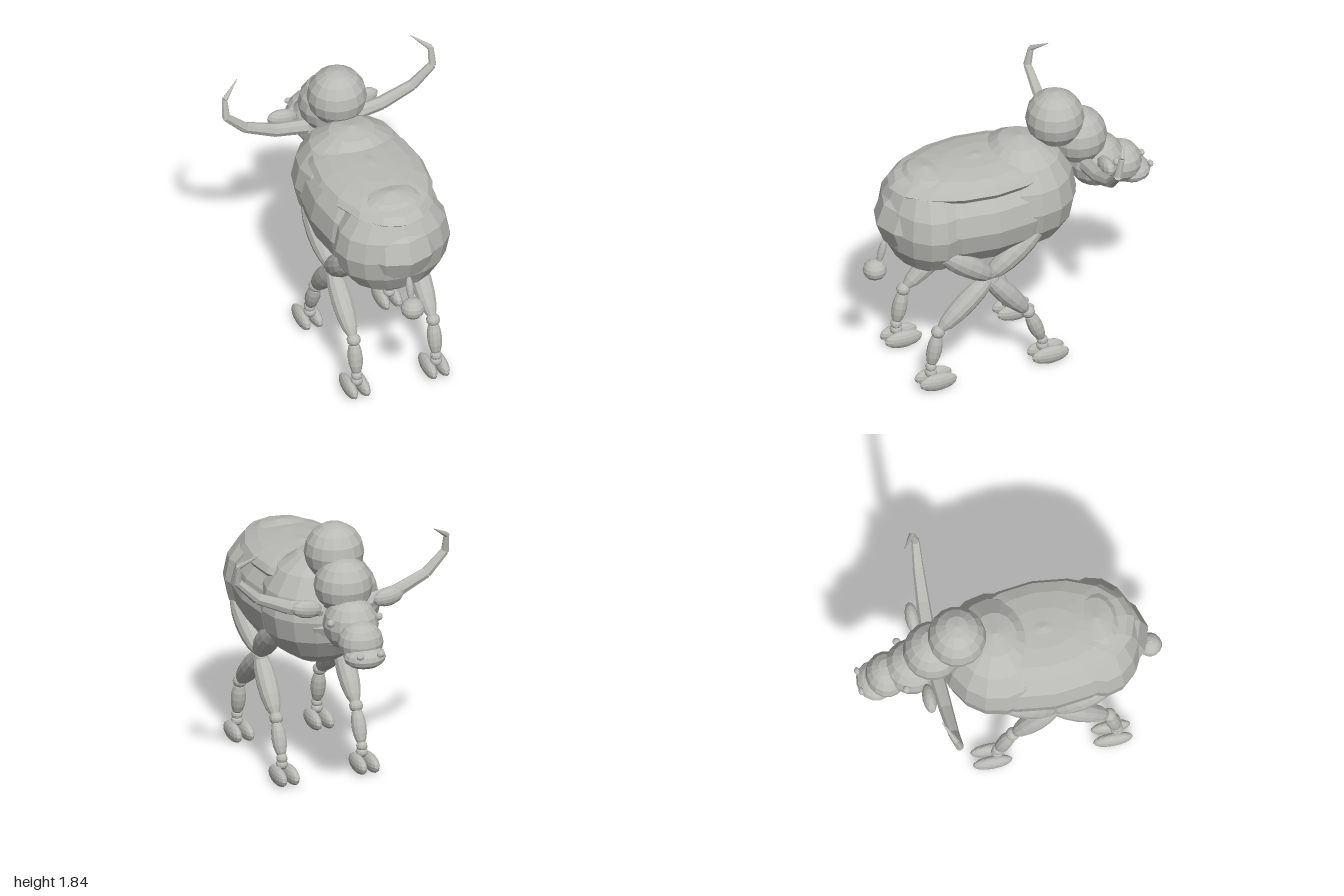
import * as THREE from 'three';

export function createModel() {
  const model = new THREE.Group();
  const clay = new THREE.MeshStandardMaterial({ color: 0xb9b9b5 });
  clay.name = 'clayGrey';
  clay.flatShading = true;

  const V = (p) => new THREE.Vector3(...p);
  const up = new THREE.Vector3(0, 1, 0);

  function add(name, geometry, position) {
    const mesh = new THREE.Mesh(geometry, clay);
    mesh.name = name;
    mesh.position.copy(position);
    model.add(mesh);
    return mesh;
  }

  // Faceted ellipsoid with its poles on y
  function blob(name, position, radii, w = 16, h = 8) {
    const geometry = new THREE.SphereGeometry(1, w, h).scale(...radii);
    return add(name, geometry, V(position));
  }

  // Slim ellipsoid stretched between two points
  function limb(name, from, to, radius) {
    const a = V(from), b = V(to), d = b.clone().sub(a);
    const geometry = new THREE.SphereGeometry(1, 12, 8).scale(radius, d.length() / 2, radius);
    const mesh = add(name, geometry, a.add(b).multiplyScalar(0.5));
    mesh.quaternion.setFromUnitVectors(up, d.normalize());
  }

  // Tapered horn section between two points
  function hornSection(name, from, to, r0, r1) {
    const a = V(from), b = V(to), d = b.clone().sub(a);
    const geometry = new THREE.CylinderGeometry(r1, r0, d.length(), 8);
    const mesh = add(name, geometry, a.add(b).multiplyScalar(0.5));
    mesh.quaternion.setFromUnitVectors(up, d.normalize());
  }

  // Trunk; the head points towards -z
  blob('rump', [0, 1.14, 0.57], [0.39, 0.37, 0.29]);
  blob('belly', [0, 1.15, 0.22], [0.415, 0.36, 0.69]);
  blob('chest', [0, 1.185, -0.09], [0.395, 0.385, 0.36]);
  blob('backPad', [0, 1.405, 0.22], [0.36, 0.1, 0.6]);

  // Neck and head
  blob('hump', [0, 1.64, -0.34], [0.195, 0.195, 0.19]);
  blob('neck', [0, 1.47, -0.5], [0.19, 0.19, 0.19]);
  blob('head', [0, 1.25, -0.63], [0.18, 0.18, 0.185]);
  blob('snout', [0, 1.19, -0.8], [0.15, 0.14, 0.135]);
  blob('muzzle', [0, 1.115, -0.87], [0.14, 0.075, 0.125]);

  // Tail
  limb('tail', [0, 1.02, 0.85], [0, 0.85, 0.895], 0.025);
  blob('tailTuft', [0, 0.81, 0.92], [0.078, 0.07, 0.078]);

  const horn = [
    [0.15, 1.32, -0.495], [0.37, 1.36, -0.485], [0.58, 1.45, -0.475],
    [0.715, 1.58, -0.465], [0.715, 1.7, -0.49], [0.6, 1.785, -0.56],
  ];
  const hornRadii = [0.05, 0.045, 0.036, 0.027, 0.019, 0.002];

  // Leg joints as [y, z]: hip, knee, hock, ankle, then hoof z
  const legs = [
    { name: 'hind', hip: [1.04, 0.62], knee: [0.74, 0.22], hock: [0.41, 0.6], ankle: [0.16, 0.65], hoof: 0.615 },
    { name: 'fore', hip: [1.08, -0.13], knee: [0.74, 0.26], hock: [0.4, -0.03], ankle: [0.16, -0.13], hoof: -0.17 },
  ];

  for (const s of [1, -1]) {
    const side = s > 0 ? 'Left' : 'Right';

    blob('eye' + side, [s * 0.165, 1.3, -0.7], [0.026, 0.026, 0.026], 12, 8);
    blob('nostril' + side, [s * 0.07, 1.16, -0.977], [0.026, 0.02, 0.018], 12, 8);
    const ear = blob('ear' + side, [s * 0.28, 1.37, -0.575], [0.105, 0.06, 0.045], 12, 8);
    ear.rotation.z = s * 0.15;

    for (let i = 0; i < horn.length - 1; i++) {
      const mirror = ([x, y, z]) => [s * x, y, z];
      hornSection('horn' + side, mirror(horn[i]), mirror(horn[i + 1]), hornRadii[i], hornRadii[i + 1]);
    }

    for (const leg of legs) {
      const at = ([y, z], x = 0.275) => [s * x, y, z];
      const n = leg.name;
      limb(n + 'Thigh' + side, at(leg.hip, 0.305), at(leg.knee, 0.285), 0.08);
      blob(n + 'Knee' + side, at([leg.knee[0] - 0.02, leg.knee[1]], 0.28), [0.045, 0.045, 0.045], 12, 8);
      limb(n + 'Shank' + side, at([leg.knee[0] + 0.03, leg.knee[1] + (n === 'hind' ? -0.02 : 0.02)]), at(leg.hock), 0.07);
      blob(n + 'Hock' + side, at(leg.hock), [0.046, 0.042, 0.046], 12, 8);
      limb(n + 'Shin' + side, at(leg.hock), at(leg.ankle), 0.049);
      blob(n + 'Ankle' + side, at(leg.ankle), [0.037, 0.035, 0.037], 12, 8);
      blob(n + 'Pastern' + side, at([0.12, leg.ankle[1]]), [0.04, 0.035, 0.042], 12, 8);
      // Cloven hoof
      for (const x of [0.232, 0.318]) {
        blob(n + 'Hoof' + side, at([0.06, leg.hoof], x), [0.04, 0.06, 0.13]);
      }
    }
  }

  return model;
}
